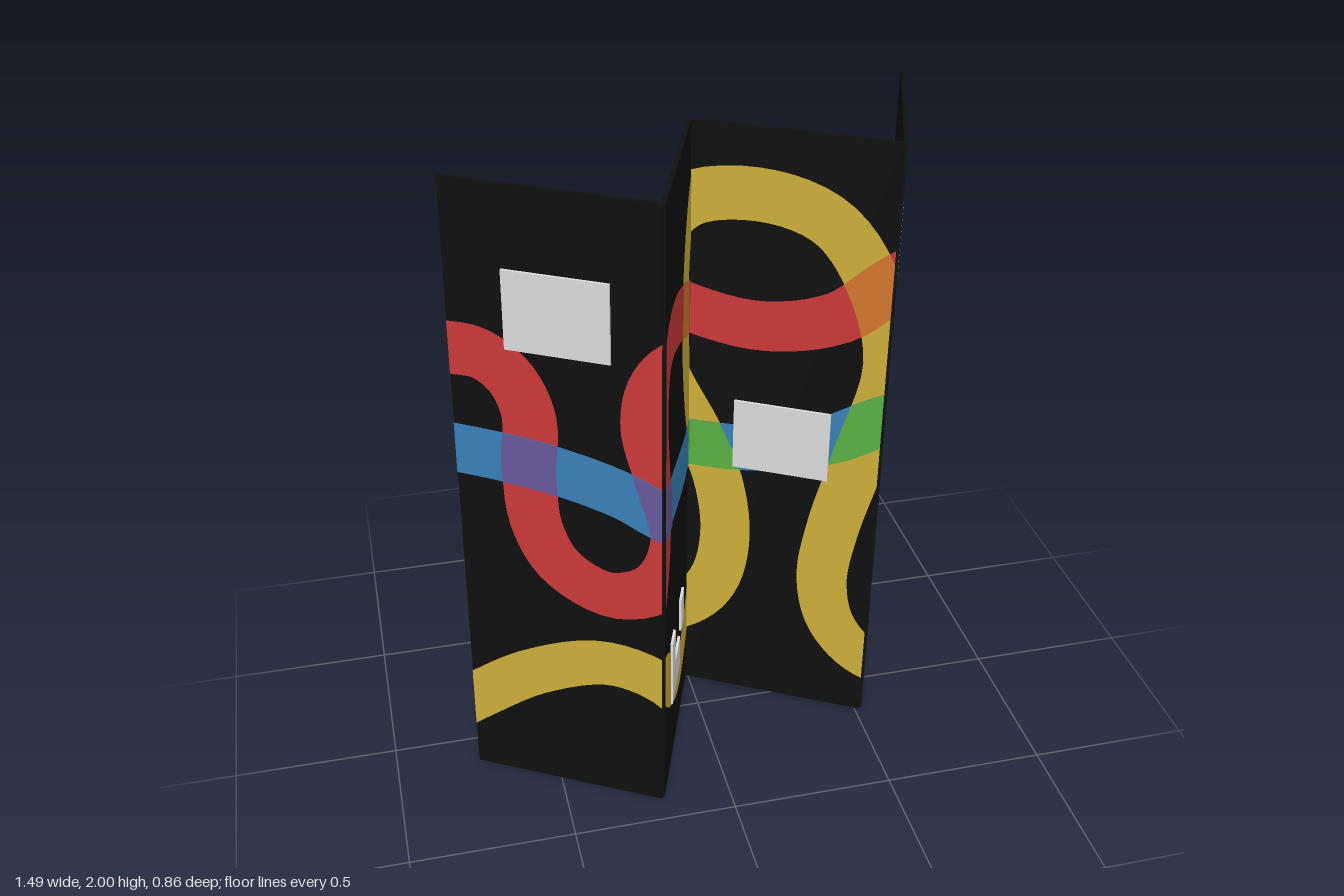
import * as THREE from 'three';

const W = 0.607, H = 1.98, T = 0.012, BAND = 0.163;

const mat = (name, color) => {
  const m = new THREE.MeshStandardMaterial({ color });
  m.name = name;
  return m;
};

// zigzag fold lines seen from above, as [x, z]
const FOLDS = [[-0.728, 0.12], [-0.2, 0.42], [0, -0.15], [0.53, 0.15], [0.725, -0.43]];

// band centre lines: [panel number along the unfolded screen, height]
const FRONT = {
  yellow: [[-0.12, 0.2], [0, 0.26], [0.34, 0.41], [0.715, 0.495], [1, 0.46], [1.3, 0.32], [1.65, 0.22],
    [2, 0.3], [2.16, 0.42], [2.22, 0.6], [2.18, 0.8], [2.07, 0.97], [1.88, 1.18], [1.77, 1.42],
    [1.83, 1.61], [2, 1.74], [2.38, 1.78], [2.7, 1.72], [2.91, 1.55], [3.02, 1.3], [2.9, 0.97],
    [2.79, 0.7], [2.75, 0.5], [2.81, 0.34], [2.97, 0.23], [3.15, 0.2], [3.32, 0.25], [3.42, 0.37],
    [3.48, 0.52], [3.57, 0.63], [3.75, 0.69], [4, 0.675], [4.12, 0.66]],
  red: [[-0.12, 1.48], [0, 1.485], [0.15, 1.48], [0.29, 1.42], [0.37, 1.31], [0.36, 1.13], [0.385, 0.95],
    [0.5, 0.82], [0.75, 0.75], [0.98, 0.81], [1.08, 0.97], [1.01, 1.15], [0.94, 1.32], [0.98, 1.45],
    [1.1, 1.53], [1.3, 1.54], [1.7, 1.47], [2, 1.4], [2.38, 1.37], [2.75, 1.43], [3, 1.56],
    [3.26, 1.67], [3.6, 1.735], [4, 1.66], [4.12, 1.63]],
  blue: [[-0.12, 1.165], [0, 1.167], [0.43, 1.15], [0.81, 1.1], [1, 1.05], [1.47, 0.98], [1.75, 0.945],
    [2, 0.935], [2.38, 0.95], [2.75, 1.02], [3, 1.11], [3.43, 1.23], [4, 1.34], [4.12, 1.36]],
};
const BACK = {
  yellow: [[-0.12, 0.66], [0, 0.62], [0.15, 0.48], [0.27, 0.32], [0.45, 0.21], [0.65, 0.2], [0.84, 0.3],
    [0.91, 0.5], [0.86, 0.75], [0.96, 0.96], [1.15, 1.07], [1.4, 1.09], [1.65, 1.0], [1.77, 0.82],
    [1.67, 0.6], [1.7, 0.4], [1.83, 0.27], [2, 0.19], [2.25, 0.18], [2.5, 0.24], [2.64, 0.38],
    [2.67, 0.58], [2.56, 0.77], [2.38, 0.93], [2.21, 1.14], [2.12, 1.36], [2.14, 1.56], [2.32, 1.74],
    [2.6, 1.84], [2.9, 1.87], [3.17, 1.82], [3.35, 1.69], [3.41, 1.5], [3.27, 1.25], [3.1, 1.02],
    [3.0, 0.8], [3.03, 0.56], [3.13, 0.38], [3.3, 0.26], [3.55, 0.195], [4, 0.205], [4.12, 0.21]],
  red: [[-0.12, 1.65], [0, 1.62], [0.15, 1.53], [0.26, 1.33], [0.28, 1.0], [0.34, 0.8], [0.48, 0.67],
    [0.72, 0.6], [1, 0.57], [1.27, 0.62], [1.42, 0.77], [1.33, 0.94], [1.15, 1.1], [1, 1.26],
    [0.94, 1.42], [0.94, 1.58], [1.04, 1.71], [1.3, 1.77], [1.65, 1.74], [2, 1.65], [2.37, 1.52],
    [2.68, 1.44], [3, 1.4], [3.35, 1.4], [4, 1.46], [4.12, 1.47]],
  blue: [[-0.12, 1.31], [0, 1.33], [0.44, 1.39], [0.98, 1.36], [1.4, 1.28], [1.75, 1.18], [2, 1.1],
    [2.25, 1.04], [2.75, 0.97], [3, 0.945], [3.4, 0.975], [3.7, 1.06], [4, 1.15], [4.12, 1.19]],
};

// label plates: [panel number, height, width, height of plate]
const PW = 0.3, PH = 0.235;
const FRONT_PLATES = [[0.52, 1.625, PW, PH], [2.5, 0.99, PW, PH], [3.5, 1.625, PW, PH],
  [1.3, 0.37, 0.07, PH], [1.46, 0.31, 0.13, 0.11], [1.68, 0.42, 0.07, 0.12]];
const BACK_PLATES = [[0.5, 1.61, PW, 0.22], [0.5, 0.37, PW, PH], [1.5, 0.37, PW, PH],
  [2.5, 1.625, PW, PH], [2.5, 0.99, PW, PH]];

// clip a polygon by a convex counter-clockwise polygon
function clip(poly, by) {
  let out = poly;
  for (let i = 0; i < by.length && out.length; i++) {
    const a = by[i], b = by[(i + 1) % by.length], src = out;
    const side = (p) => (b[0] - a[0]) * (p[1] - a[1]) - (b[1] - a[1]) * (p[0] - a[0]);
    out = [];
    src.forEach((p, j) => {
      const q = src[(j + 1) % src.length], sp = side(p), sq = side(q);
      if (sp >= 0) out.push(p);
      if ((sp >= 0) !== (sq >= 0)) {
        const k = sp / (sp - sq);
        out.push([p[0] + (q[0] - p[0]) * k, p[1] + (q[1] - p[1]) * k]);
      }
    });
  }
  return out;
}

// a band of even width along a smooth centre line, as quads
function band(points) {
  const curve = new THREE.CatmullRomCurve3(points.map(([u, y]) => new THREE.Vector3(u * W, y, 0)));
  const n = points.length * 5, edges = [];
  for (let i = 0; i <= n; i++) {
    const p = curve.getPoint(i / n), t = curve.getTangent(i / n);
    const dx = -t.y * BAND / 2, dy = t.x * BAND / 2;
    edges.push([[p.x - dx, p.y - dy], [p.x + dx, p.y + dy]]);
  }
  return edges.slice(1).map((e, i) => [edges[i][0], e[0], e[1], edges[i][1]]);
}

const overlap = (a, b) => a.flatMap((p) => b.map((q) => clip(p, q)).filter((r) => r.length > 2));

// flat painted face for one panel
function paint(polys, k, z) {
  const x0 = k * W, x1 = x0 + W, pos = [];
  const rect = [[x0, 0], [x1, 0], [x1, H], [x0, H]];
  for (const poly of polys) {
    const c = clip(poly, rect);
    for (let i = 1; i + 1 < c.length; i++) {
      for (const p of [c[0], c[i], c[i + 1]]) pos.push(p[0] - x0, p[1], z);
    }
  }
  const g = new THREE.BufferGeometry();
  g.setAttribute('position', new THREE.Float32BufferAttribute(pos, 3));
  g.computeVertexNormals();
  return g;
}

export function createModel() {
  const M = {
    black: mat('black panel', 0x101010), yellow: mat('yellow', 0xd2b23a), red: mat('red', 0xd03a3a),
    blue: mat('blue', 0x3a84bc), orange: mat('orange', 0xd67a2e), green: mat('green', 0x5cb545),
    purple: mat('purple', 0x6a5a9e), plate: mat('pale grey', 0xe0e0e0),
  };
  const screen = new THREE.Group();
  screen.name = 'foldingScreen';

  const add = (parent, name, geo, material) => {
    const m = new THREE.Mesh(geo, material);
    m.name = name;
    parent.add(m);
    return m;
  };

  // group whose x runs along a panel and whose z points out of its face
  const panelFrame = (name, a, b) => {
    const g = new THREE.Group();
    g.name = name;
    g.position.set(a[0], 0, a[1]);
    g.rotation.y = -Math.atan2(b[1] - a[1], b[0] - a[0]);
    screen.add(g);
    return g;
  };

  // bands, their crossings and the plates on one side
  const paintSide = (side, folds, art, plates) => {
    const yellow = band(art.yellow), red = band(art.red), blue = band(art.blue);
    const layers = [
      ['yellow', yellow, 0.002], ['red', red, 0.0025], ['blue', blue, 0.003],
      ['orange', overlap(yellow, red), 0.0045], ['green', overlap(yellow, blue), 0.005],
      ['purple', overlap(red, blue), 0.0055],
    ];
    for (let k = 0; k < 4; k++) {
      const g = panelFrame(`${side}Face${k + 1}`, folds[k], folds[k + 1]);
      for (const [name, polys, lift] of layers) {
        const geo = paint(polys, k, T / 2 + lift);
        if (geo.attributes.position.count) add(g, `${name}Band`, geo, M[name]);
      }
      for (const [u, y, w, h] of plates.filter((p) => Math.floor(p[0]) === k)) {
        add(g, 'labelPlate', new THREE.BoxGeometry(w, h, 0.008), M.plate)
          .position.set((u - k) * W, y, T / 2 + 0.004);
      }
    }
  };

  // panels
  for (let k = 0; k < 4; k++) {
    const g = panelFrame(`panel${k + 1}`, FOLDS[k], FOLDS[k + 1]);
    add(g, 'board', new THREE.BoxGeometry(W, H, T), M.black).position.set(W / 2, H / 2, 0);
  }
  paintSide('front', FOLDS, FRONT, FRONT_PLATES);
  paintSide('back', [...FOLDS].reverse(), BACK, BACK_PLATES);

  // the whole screen leans very slightly sideways
  screen.rotation.z = -0.0127;
  screen.position.set(-0.0127, 0.01, 0);
  const model = new THREE.Group();
  model.name = 'model';
  model.add(screen);
  return model;
}
